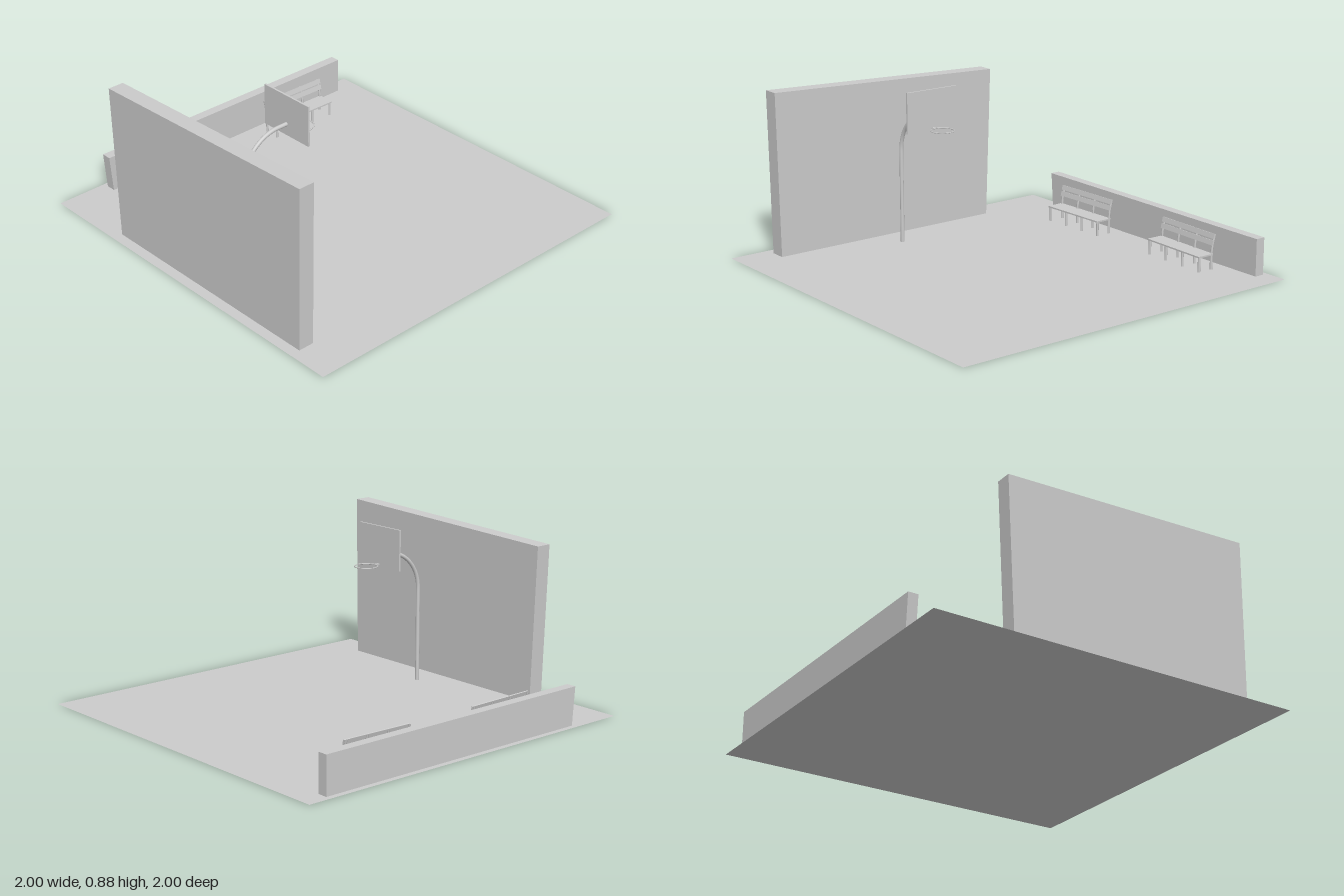
import * as THREE from 'three';

const grey = new THREE.MeshStandardMaterial({ color: 0xcccccc });
const thin = new THREE.MeshStandardMaterial({ color: 0xcccccc, side: THREE.DoubleSide });

function add(parent, name, geometry, x = 0, y = 0, z = 0, material = grey) {
  const mesh = new THREE.Mesh(geometry, material);
  mesh.name = name;
  mesh.position.set(x, y, z);
  parent.add(mesh);
  return mesh;
}

// Slab with a slightly crooked outline, extruded along its thickness
function slab(points, depth) {
  const shape = new THREE.Shape(points.map(([a, b]) => new THREE.Vector2(a, b)));
  return new THREE.ExtrudeGeometry(shape, { depth, bevelEnabled: false });
}

function createBench() {
  const bench = new THREE.Group();
  bench.name = 'bench';
  const width = 0.396;
  add(bench, 'seat', new THREE.BoxGeometry(width, 0.008, 0.096), 0, 0.08, 0.01);

  // Four frames, each with a front leg, a rear leg and a leaning upright
  for (let i = 0; i < 4; i++) {
    const x = -0.19 + i * 0.1267;
    for (const [name, z] of [['frontLeg', 0.048], ['rearLeg', -0.034]]) {
      add(bench, name, new THREE.CylinderGeometry(0.007, 0.007, 0.077, 10), x, 0.0385, z);
    }
    const lean = new THREE.CatmullRomCurve3([
      new THREE.Vector3(x, 0.07, -0.034),
      new THREE.Vector3(x, 0.12, -0.039),
      new THREE.Vector3(x, 0.183, -0.055),
    ]);
    add(bench, 'upright', new THREE.TubeGeometry(lean, 8, 0.006, 8), 0, 0, 0, thin);
  }

  // Back slats follow the lean of the uprights
  for (const [y, z] of [[0.173, -0.044], [0.14, -0.036]]) {
    const slat = add(bench, 'backSlat', new THREE.BoxGeometry(width, 0.026, 0.007), 0, y, z);
    slat.rotation.x = -0.24;
  }
  return bench;
}

function createHoop() {
  const hoop = new THREE.Group();
  hoop.name = 'basketballHoop';
  const z = 0.128;

  // Pole rises, bends through a quarter circle and reaches the board
  const path = new THREE.CurvePath();
  const v = (x, y) => new THREE.Vector3(x, y, z);
  const k = 0.5523, r = 0.22;
  path.add(new THREE.LineCurve3(v(-0.705, 0), v(-0.705, 0.5)));
  path.add(new THREE.CubicBezierCurve3(
    v(-0.705, 0.5), v(-0.705, 0.5 + r * k), v(-0.485 - r * k, 0.72), v(-0.485, 0.72)));
  path.add(new THREE.LineCurve3(v(-0.485, 0.72), v(-0.43, 0.72)));
  add(hoop, 'pole', new THREE.TubeGeometry(path, 80, 0.0105, 14), 0, 0, 0, thin);

  add(hoop, 'backboard', new THREE.BoxGeometry(0.01, 0.215, 0.31), -0.428, 0.768, z);
  const ring = add(hoop, 'ring', new THREE.TorusGeometry(0.06, 0.0028, 8, 40), -0.336, 0.676, z);
  ring.rotation.x = Math.PI / 2;
  add(hoop, 'ringBracket', new THREE.BoxGeometry(0.03, 0.006, 0.014), -0.411, 0.675, z);
  return hoop;
}

export function createModel() {
  const model = new THREE.Group();
  model.name = 'basketballCourt';

  // Court surface
  const ground = add(model, 'ground', new THREE.PlaneGeometry(2, 2), 0, 0, 0, thin);
  ground.rotation.x = -Math.PI / 2;

  // Tall side wall, outline drawn in -z and y, thickness along x
  const tall = slab([[-0.78, 0], [0.55, 0], [0.58, 0.82], [-0.793, 0.87]], 0.085);
  tall.rotateY(Math.PI / 2);
  add(model, 'tallWall', tall, -0.945, 0, 0);

  // Low wall along the back
  const low = slab([[-0.718, 0], [0.878, 0], [0.878, 0.196], [-0.734, 0.199]], 0.053);
  add(model, 'lowWall', low, 0, 0, -0.971);

  model.add(createHoop());

  // Two benches turned slightly toward each other
  for (const [x, turn] of [[-0.337, 0.03], [0.463, -0.03]]) {
    const bench = createBench();
    bench.position.set(x, 0, -0.798);
    bench.rotation.y = turn;
    model.add(bench);
  }
  return model;
}
